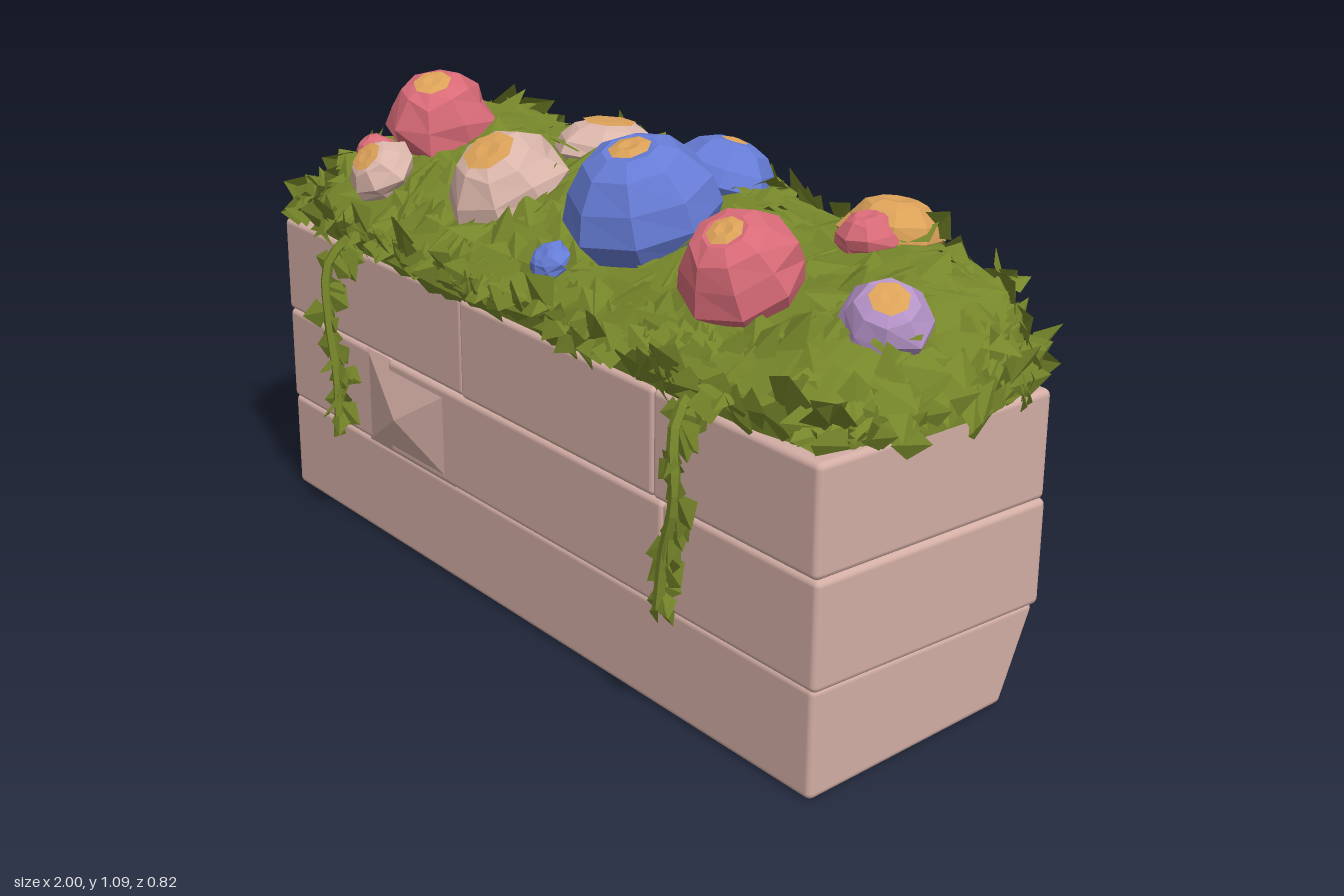
import * as THREE from 'three';
import { mergeGeometries } from 'three/addons/utils/BufferGeometryUtils.js';
import { RoundedBoxGeometry } from 'three/addons/geometries/RoundedBoxGeometry.js';
import { ParametricGeometry } from 'three/addons/geometries/ParametricGeometry.js';

const V = (x, y, z) => new THREE.Vector3(x, y, z);

function material(name, color, side = THREE.DoubleSide) {
  const m = new THREE.MeshStandardMaterial({ color, side });
  m.name = name;
  return m;
}

// Gives every triangle its own normal for a faceted look
function faceted(geometry) {
  const g = geometry.index ? geometry.toNonIndexed() : geometry;
  g.computeVertexNormals();
  return g;
}

// Cross-section of the planting (z, y), higher at the back
const SECTION = [[0.29, 0.67], [0.3, 0.75], [0.2, 0.83], [0.04, 0.9], [-0.14, 0.925],
  [-0.27, 0.91], [-0.33, 0.79], [-0.345, 0.68], [0.29, 0.67]];

// Point on the mound: u runs along x from -1 to 1, v runs round the section
function moundPoint(u, v) {
  const f = Math.min(v, 0.9999) * (SECTION.length - 1);
  const i = Math.floor(f), t = f - i;
  const z = THREE.MathUtils.lerp(SECTION[i][0], SECTION[i + 1][0], t);
  const y = THREE.MathUtils.lerp(SECTION[i][1], SECTION[i + 1][1], t);
  const k = Math.pow(Math.max(0, 1 - Math.pow(Math.abs(u), 14)), 0.4);
  const wave = 1 + 0.05 * Math.sin(u * 13 + v * 9) * Math.sin(v * Math.PI);
  return V(0.945 * u, 0.68 + (y - 0.68) * k * wave, -0.02 + (z + 0.02) * (0.15 + 0.85 * k));
}

export function createModel() {
  let seed = 17;
  const rnd = (a = 0, b = 1) => {
    seed = (seed * 16807) % 2147483647;
    return a + (b - a) * (seed / 2147483647);
  };

  const stone = material('stone', 0xd3aea5, THREE.FrontSide);
  const green = material('leaf green', 0x76862a);
  const rose = material('rose petals', 0xd96b78);
  const blue = material('blue petals', 0x667cd6);
  const blush = material('blush petals', 0xdab5aa);
  const lilac = material('lilac petals', 0xb593c8);
  const orange = material('orange pollen', 0xdba158);

  const model = new THREE.Group();
  model.name = 'flowerPlanter';
  function add(parent, name, geometry, mat) {
    const mesh = new THREE.Mesh(geometry, mat);
    mesh.name = name;
    parent.add(mesh);
    return mesh;
  }

  // Stone trough: three courses of blocks
  const trough = new THREE.Group();
  trough.name = 'stoneTrough';
  model.add(trough);
  const courses = [
    { y: [0, 0.235], joints: [-0.95, 0.935] },
    { y: [0.232, 0.462], joints: [-0.95, -0.5, 0.5, 0.945] },
    { y: [0.459, 0.69], joints: [-0.955, -0.2, 0.47, 0.94] },
  ];
  courses.forEach(({ y, joints }, row) => {
    for (let i = 0; i < joints.length - 1; i++) {
      const w = joints[i + 1] - joints[i], h = y[1] - y[0];
      const g = new RoundedBoxGeometry(w + 0.004, h, 0.6 + rnd(-0.006, 0.01), 2, 0.014);
      g.translate((joints[i] + joints[i + 1]) / 2, (y[0] + y[1]) / 2, 0);
      if (row === 0) {
        // Worn lower corners at the back
        const p = g.attributes.position;
        for (let j = 0; j < p.count; j++) {
          if (p.getY(j) < 0.1 && p.getZ(j) < 0) {
            p.setX(j, p.getX(j) * 0.96);
            p.setZ(j, p.getZ(j) + 0.03);
          }
        }
      }
      add(trough, 'stoneBlock', g, stone);
    }
  });

  // Two rough stones that stick out of the middle course
  const frontBulge = new THREE.ConeGeometry(0.17, 0.045, 4, 1, true).rotateY(Math.PI / 4).rotateX(Math.PI / 2);
  add(trough, 'frontBulge', faceted(frontBulge.scale(1.5, 0.95, 1)), stone).position.set(-0.42, 0.345, 0.318);
  const endBulge = new THREE.ConeGeometry(0.16, 0.05, 4, 1, true).rotateY(Math.PI / 4).rotateZ(Math.PI / 2);
  add(trough, 'endBulge', faceted(endBulge), stone).position.set(-0.973, 0.345, 0.16);

  // One folded leaf, base at the origin and tip along +y
  const leaf = new THREE.BufferGeometry();
  leaf.setAttribute('position', new THREE.Float32BufferAttribute([
    0, 0, 0, 0, 1, -0.12, -0.42, 0.5, -0.2,
    0, 0, 0, 0.42, 0.5, -0.2, 0, 1, -0.12], 3));
  function placeLeaf(at, dir, normal, size) {
    const y = dir.clone().normalize();
    const x = y.clone().cross(normal).normalize();
    const z = x.clone().cross(y);
    const m = new THREE.Matrix4().makeBasis(x, y, z).scale(V(size, size, size)).setPosition(at);
    return leaf.clone().applyMatrix4(m);
  }
  const scatter = (n) => V(rnd(-n, n), rnd(-n, n), rnd(-n, n));

  // Foliage mound with loose leaves all over it
  const foliage = new THREE.Group();
  foliage.name = 'foliage';
  model.add(foliage);
  const mound = new ParametricGeometry((a, b, target) => {
    target.copy(moundPoint(Math.sin((a - 0.5) * Math.PI), b));
  }, 30, 16);
  add(foliage, 'foliageMound', faceted(mound), green);

  const leaves = [];
  for (let i = 0; i < 900; i++) {
    const u = i % 6 ? rnd(-0.98, 0.98) : (rnd() < 0.5 ? -1 : 1) * rnd(0.95, 0.998);
    const v = rnd(0.02, 0.87);
    const at = moundPoint(u, v);
    const du = moundPoint(u + (u > 0 ? -0.01 : 0.01), v).sub(at);
    const dv = moundPoint(u, v + 0.01).sub(at);
    const n = du.cross(dv).normalize();
    if (n.dot(V(at.x * 0.2, at.y - 0.62, at.z + 0.02)) < 0) n.negate();
    const dir = scatter(1);
    dir.addScaledVector(n, -dir.dot(n)).normalize().addScaledVector(n, rnd(0.05, 0.5));
    if (at.y < 0.74) dir.y = Math.abs(dir.y) * 0.6 - 0.2;
    leaves.push(placeLeaf(at.addScaledVector(n, 0.003), dir, n, rnd(0.06, 0.12)));
  }
  const leafMass = mergeGeometries(leaves);
  const lp = leafMass.attributes.position;
  for (let i = 0; i < lp.count; i++) {
    lp.setXYZ(i, THREE.MathUtils.clamp(lp.getX(i), -1, 1),
      THREE.MathUtils.clamp(lp.getY(i), 0.645, 0.99), THREE.MathUtils.clamp(lp.getZ(i), -0.4, 0.345));
  }
  add(foliage, 'looseLeaves', faceted(leafMass), green);

  // Two trailing vines down the front
  const vines = [
    [V(-0.64, 0.74, 0.27), V(-0.67, 0.66, 0.345), V(-0.65, 0.5, 0.36), V(-0.63, 0.4, 0.36), V(-0.62, 0.3, 0.365)],
    [V(0.58, 0.76, 0.27), V(0.59, 0.66, 0.345), V(0.61, 0.52, 0.36), V(0.58, 0.4, 0.36), V(0.57, 0.28, 0.365)],
  ];
  for (const points of vines) {
    const vine = new THREE.Group();
    vine.name = 'trailingVine';
    foliage.add(vine);
    const curve = new THREE.CatmullRomCurve3(points);
    add(vine, 'vineStem', faceted(new THREE.TubeGeometry(curve, 12, 0.013, 5)), green);
    const parts = [];
    for (let i = 0; i < 48; i++) {
      const t = i / 47;
      const dir = V(rnd(-1, 1), rnd(-1.2, 0.1), rnd(-0.25, 0.3));
      const normal = V(rnd(-0.5, 0.5), 0.3, 1).normalize();
      parts.push(placeLeaf(curve.getPoint(t), dir, normal, rnd(0.06, 0.1) * (1 - 0.25 * t)));
    }
    add(vine, 'vineLeaves', faceted(mergeGeometries(parts)), green);
  }

  // Flower heads: uneven faceted domes with a pollen patch
  function flower(name, mat, [x, y, z], r, h, facing, pollen = 0.36) {
    const head = new THREE.Group();
    head.name = name;
    const profile = [[0.8, -0.5], [1, -0.1], [0.9, 0.28], [0.62, 0.66], [0.36, 0.78], [0, 0.72]]
      .map(([a, b]) => new THREE.Vector2(a * r, b * h));
    const sides = 8;
    const dome = new THREE.LatheGeometry(profile, sides);
    const p = dome.attributes.position;
    const wobble = Array.from({ length: sides }, () => rnd(0.9, 1.1));
    for (let i = 0; i < p.count; i++) {
      const ring = i % profile.length, s = Math.floor(i / profile.length) % sides;
      const k = ring > 3 ? 1 : wobble[(s + ring * 3) % sides];
      p.setXYZ(i, p.getX(i) * k, p.getY(i) * (ring > 3 ? 1 : 2 - k), p.getZ(i) * k);
    }
    add(head, 'petals', faceted(dome), mat);
    if (pollen) {
      const cap = new THREE.LatheGeometry([[pollen, 0.79], [pollen * 0.5, 0.83], [0, 0.8]]
        .map(([a, b]) => new THREE.Vector2(a * r, b * h)), 7);
      add(head, 'pollen', faceted(cap), orange);
    }
    head.position.set(x, y, z);
    head.quaternion.setFromUnitVectors(V(0, 1, 0), V(...facing).normalize());
    model.add(head);
  }
  flower('roseFlowerRight', rose, [-0.67, 0.95, 0.03], 0.125, 0.13, [0.25, 1, 0.35]);
  flower('smallBlushFlower', blush, [-0.645, 0.86, 0.21], 0.08, 0.07, [0, 0.8, 0.8], 0.5);
  flower('smallRosePetal', rose, [-0.69, 0.885, 0.19], 0.05, 0.06, [-0.3, 0.8, 0.6], 0);
  flower('blushFlowerFront', blush, [-0.29, 0.895, 0.11], 0.135, 0.12, [0.1, 0.9, 0.55], 0.45);
  flower('blushFlowerBack', blush, [-0.3, 0.925, -0.18], 0.125, 0.075, [0, 1, -0.1], 0.5);
  flower('blueFlowerFront', blue, [0.155, 0.945, 0.08], 0.165, 0.165, [0.05, 1, 0.3], 0.28);
  flower('blueFlowerBack', blue, [0.085, 0.94, -0.2], 0.12, 0.1, [0.1, 1, -0.3], 0.25);
  flower('blueBud', blue, [0.04, 0.82, 0.23], 0.05, 0.04, [0, 0.7, 0.7], 0);
  flower('roseFlowerLeft', rose, [0.535, 0.915, 0.14], 0.13, 0.13, [0.1, 0.85, 0.5], 0.3);
  flower('orangeFlower', orange, [0.575, 0.935, -0.22], 0.105, 0.08, [0, 1, -0.15], 0);
  flower('rosePetalBack', rose, [0.59, 0.94, -0.14], 0.065, 0.06, [0, 1, 0.2], 0);
  flower('lilacFlower', lilac, [0.83, 0.865, 0.045], 0.095, 0.1, [0.45, 0.85, 0.35], 0.42);

  return model;
}
